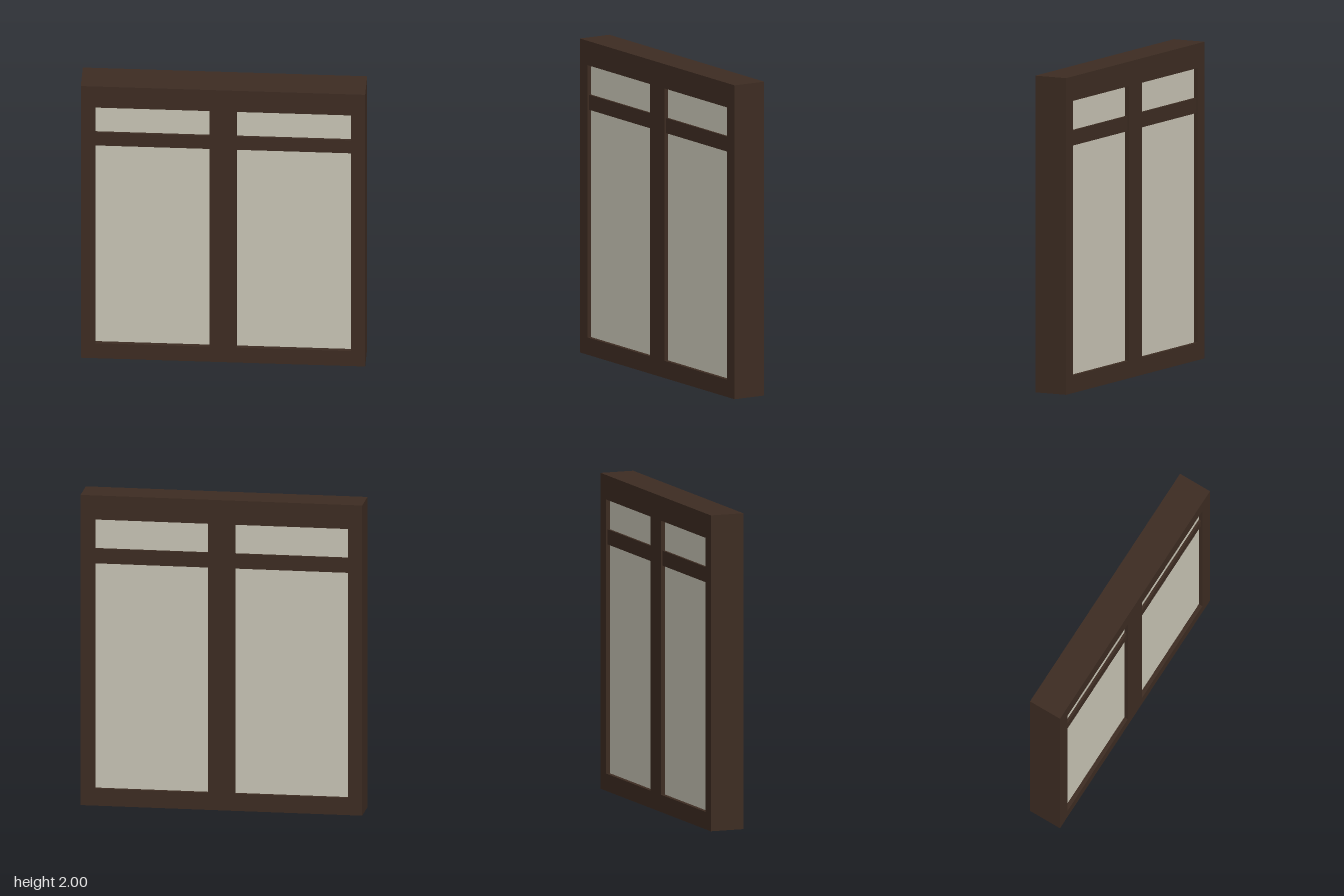
import * as THREE from 'three';

export function createModel() {
  const group = new THREE.Group();
  const wood = new THREE.MeshStandardMaterial({ color: 0x3d2c22 });
  wood.name = 'dark brown wood';
  const glass = new THREE.MeshStandardMaterial({ color: 0xc8c4b5 });
  glass.name = 'pale grey glass';

  const W = 0.89, H = 2, D = 0.22; // half width, height, depth
  const inner = 0.085, outer = 0.8, sill = 0.11, head = 1.845;

  const rect = (Path, x0, y0, x1, y1) => {
    const p = new Path();
    p.moveTo(x0, y0);
    p.lineTo(x1, y0);
    p.lineTo(x1, y1);
    p.lineTo(x0, y1);
    p.closePath();
    return p;
  };

  // Outer frame with centre mullion: one slab with two openings
  const outline = rect(THREE.Shape, -W, 0, W, H);
  outline.holes.push(rect(THREE.Path, -outer, sill, -inner, head));
  outline.holes.push(rect(THREE.Path, inner, sill, outer, head));
  const frameGeometry = new THREE.ExtrudeGeometry(outline, { depth: D, bevelEnabled: false });
  frameGeometry.translate(0, 0, -D / 2);
  const frame = new THREE.Mesh(frameGeometry, wood);
  frame.name = 'frame';
  group.add(frame);

  const addBox = (name, material, x0, y0, x1, y1, depth) => {
    const mesh = new THREE.Mesh(new THREE.BoxGeometry(x1 - x0, y1 - y0, depth), material);
    mesh.position.set((x0 + x1) / 2, (y0 + y1) / 2, 0);
    mesh.name = name;
    group.add(mesh);
  };

  // Each opening: a slightly recessed transom with a pane below and above
  for (const [side, x0, x1] of [['left', inner, outer], ['right', -outer, -inner]]) {
    addBox(side + 'Transom', wood, x0, 1.56, x1, 1.655, 0.2);
    addBox(side + 'LowerPane', glass, x0, sill, x1, 1.56, 0.168);
    addBox(side + 'UpperPane', glass, x0, 1.655, x1, head, 0.168);
  }
  return group;
}
